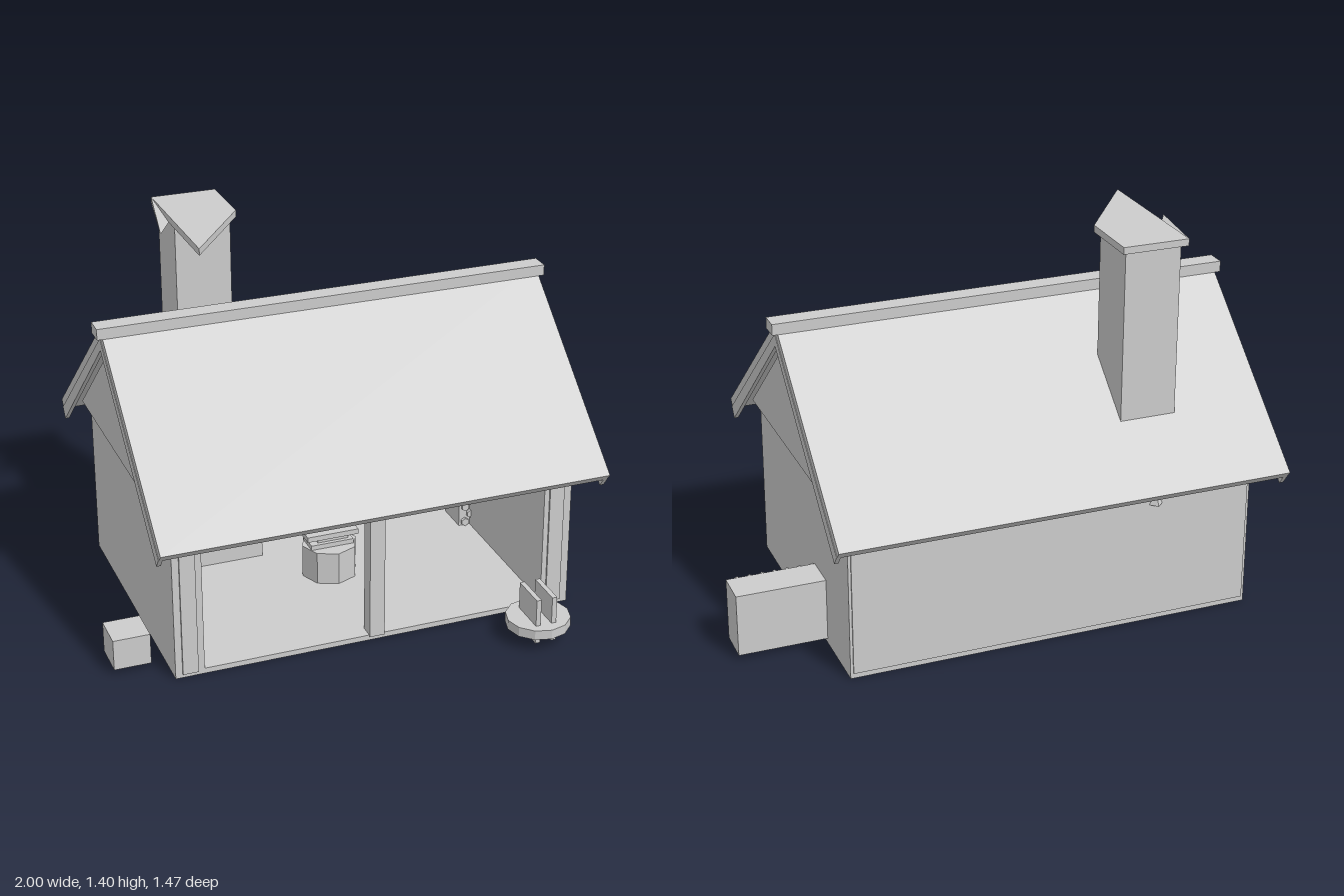
import * as THREE from 'three';

export function createModel() {
  const model = new THREE.Group();
  model.name = 'smithy';
  const grey = new THREE.MeshStandardMaterial({ color: 0xcccccc, flatShading: true, side: THREE.DoubleSide });
  grey.name = 'plain grey';

  const add = (name, geometry, parent = model) => {
    const mesh = new THREE.Mesh(geometry, grey);
    mesh.name = name;
    parent.add(mesh);
    return mesh;
  };
  // Box given by its limits on each axis
  const box = (name, x0, x1, y0, y1, z0, z1, parent) => {
    const mesh = add(name, new THREE.BoxGeometry(x1 - x0, y1 - y0, z1 - z0), parent);
    mesh.position.set((x0 + x1) / 2, (y0 + y1) / 2, (z0 + z1) / 2);
    return mesh;
  };
  const cylinder = (name, rTop, rBottom, y0, y1, x, z, sides, parent) => {
    const mesh = add(name, new THREE.CylinderGeometry(rTop, rBottom, y1 - y0, sides), parent);
    mesh.position.set(x, (y0 + y1) / 2, z);
    return mesh;
  };
  const group = (name) => {
    const g = new THREE.Group();
    g.name = name;
    model.add(g);
    return g;
  };
  // Outline in (z, y), extruded along x
  const alongX = (name, points, x0, x1, parent) => {
    const shape = new THREE.Shape(points.map(([z, y]) => new THREE.Vector2(-z, y)));
    const geo = new THREE.ExtrudeGeometry(shape, { depth: x1 - x0, bevelEnabled: false });
    geo.rotateY(Math.PI / 2);
    geo.translate(x0, 0, 0);
    return add(name, geo, parent);
  };
  const midZ = -0.078;

  // Floor, walls and posts
  box('floor', -0.81, 0.68, 0, 0.02, -0.585, 0.435);
  box('rightWall', -0.81, -0.705, 0.02, 0.62, -0.585, 0.435);
  box('leftWall', 0.575, 0.68, 0.02, 0.62, -0.585, 0.435);
  box('backWall', -0.8, 0.67, 0.02, 0.62, -0.59, -0.5);
  for (const x of [-0.757, -0.067, 0.622]) {
    box('frontPost', x - 0.028, x + 0.028, 0.015, 0.585, 0.385, 0.442);
  }

  // Gables
  for (const [x0, x1] of [[-0.85, -0.8], [0.67, 0.72]]) {
    alongX('gable', [[midZ + 0.47, 0.635], [midZ, 1.04], [midZ - 0.47, 0.635]], x0, x1);
  }

  // Roof slopes, end boards and ridge cap
  const roof = group('roof');
  for (const s of [1, -1]) {
    const side = (pts) => pts.map(([d, y]) => [midZ + s * d, y]);
    alongX('roofSlope', side([[0.656, 0.567], [0, 1.118], [0, 1.073], [0.632, 0.54]]), -0.885, 0.755, roof);
    for (const x of [-0.887, 0.742]) {
      alongX('endBoard', side([[0.636, 0.545], [0, 1.08], [0, 1.035], [0.608, 0.508]]), x, x + 0.015, roof);
    }
  }
  box('ridgeCap', -0.905, 0.775, 1.09, 1.13, midZ - 0.036, midZ + 0.036, roof);

  // Chimney, with a skewed cap and a loose flap
  const chimney = group('chimney');
  box('chimneyStack', -0.542, -0.338, 0.64, 1.372, -0.508, -0.304, chimney);
  const capShape = new THREE.Shape([[-0.56, 0.53], [-0.555, -0.03], [-0.32, 0.29], [-0.32, 0.53]]
    .map(([x, y]) => new THREE.Vector2(x, y)));
  const capGeo = new THREE.ExtrudeGeometry(capShape, { depth: 0.025, bevelEnabled: false });
  capGeo.rotateX(-Math.PI / 2);
  capGeo.translate(0, 1.375, 0);
  add('chimneyCap', capGeo, chimney);
  const flap = new THREE.BufferGeometry();
  flap.setAttribute('position', new THREE.Float32BufferAttribute([
    -0.56, 1.4, -0.53, -0.62, 1.376, -0.21, -0.5, 1.376, -0.42,
    -0.56, 1.375, -0.53, -0.62, 1.375, -0.21, -0.56, 1.4, -0.53,
  ], 3));
  flap.computeVertexNormals();
  add('capFlap', flap, chimney);

  // Hood and hearth
  cylinder('hood', 0.125, 0.23, 0.46, 0.66, -0.443, -0.385, 4);
  box('hearth', -0.625, -0.26, 0.02, 0.22, -0.52, -0.25);
  box('coalBed', -0.57, -0.315, 0.22, 0.255, -0.48, -0.29);

  // Anvil on a stump
  const anvil = group('anvil');
  cylinder('stump', 0.105, 0.105, 0.02, 0.145, -0.065, -0.05, 8, anvil);
  box('anvilFoot', -0.15, 0.015, 0.145, 0.163, -0.095, -0.005, anvil);
  box('anvilWaist', -0.12, 0, 0.163, 0.18, -0.08, -0.02, anvil);
  box('anvilTop', -0.165, 0.035, 0.18, 0.2, -0.095, -0.005, anvil);

  // Barrel with hoops
  const barrel = group('barrel');
  cylinder('barrelBody', 0.05, 0.05, 0.02, 0.185, 0.238, -0.38, 12, barrel);
  for (const y of [0.045, 0.16]) cylinder('hoop', 0.054, 0.054, y - 0.008, y + 0.008, 0.238, -0.38, 12, barrel);

  // Tools hanging on the back wall
  [[-0.163, 0.3], [0.004, 0.3], [0.084, 0.345], [0.165, 0.3], [0.247, 0.345]].forEach(([x, y]) => {
    box('hangingTool', x - 0.007, x + 0.007, y, y + 0.135, -0.5, -0.485);
  });

  // Grindstone between two boards
  const grindstone = group('grindstone');
  cylinder('stone', 0.116, 0.116, 0.052, 0.088, 0.473, 0.623, 12, grindstone);
  for (const x of [0.44, 0.5]) box('stand', x - 0.009, x + 0.009, 0.018, 0.19, 0.555, 0.695, grindstone);

  // Crate
  box('crate', -1, -0.867, 0.02, 0.135, 0.2, 0.335);

  // Log stack: solid block with log ends on its front
  const logs = group('logStack');
  box('logBlock', 0.53, 1, 0.018, 0.248, -0.33, -0.2, logs);
  for (let row = 0; row < 7; row++) {
    for (let col = 0; col < 10; col++) {
      const end = add('logEnd', new THREE.CylinderGeometry(0.016, 0.016, 0.02, 6), logs);
      end.rotation.x = Math.PI / 2;
      end.position.set(0.553 + col * 0.045 + (row % 2) * 0.022, 0.036 + row * 0.0325, -0.198);
    }
  }
  return model;
}
